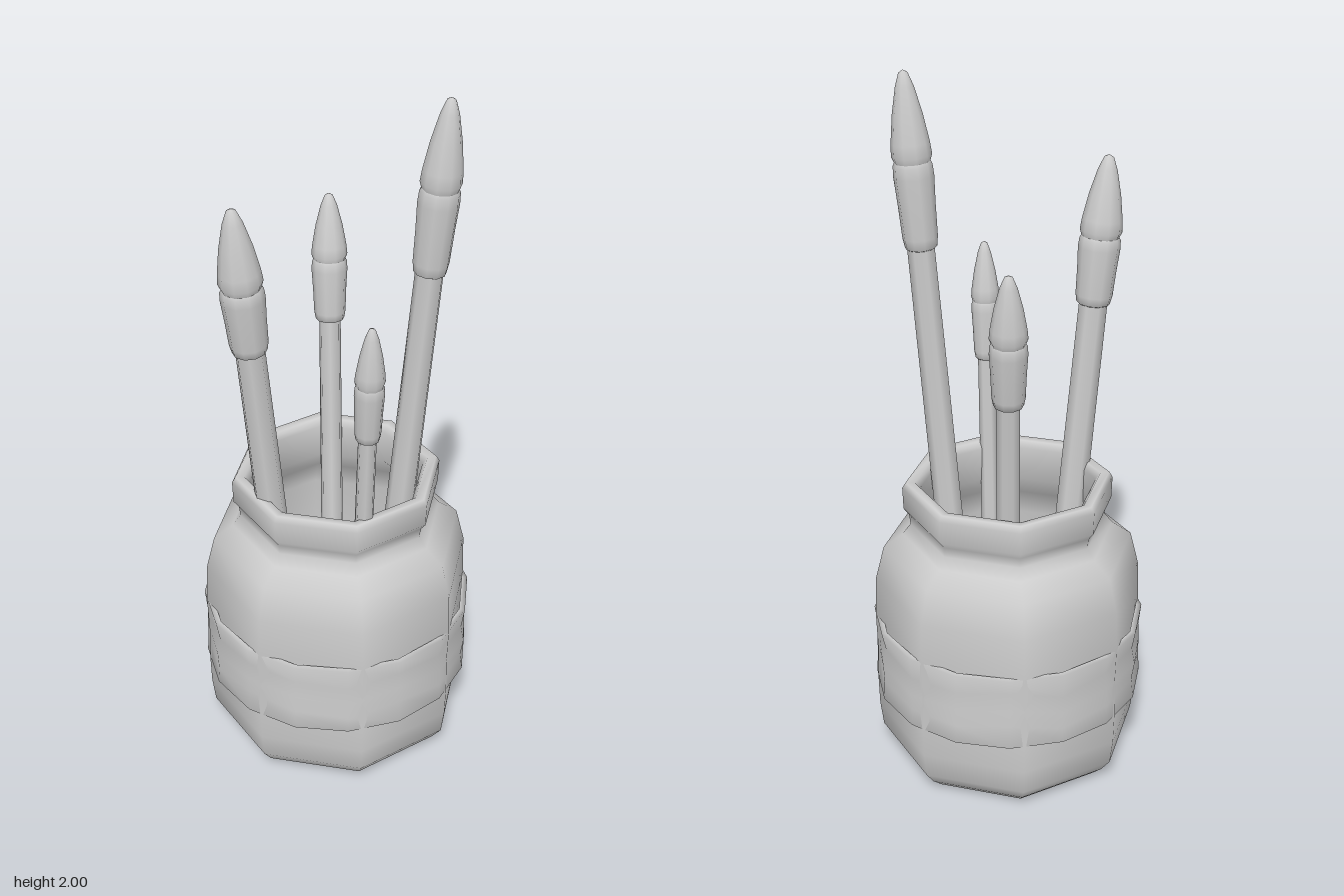
import * as THREE from 'three';
import { mergeVertices } from 'three/addons/utils/BufferGeometryUtils.js';

const rad = THREE.MathUtils.degToRad;

// Turned part from [radius, height] pairs; a repeated pair makes a sharp edge
function lathe(name, profile, sides, material, startDeg = 0) {
  const points = profile.map(([r, y]) => new THREE.Vector2(r, y));
  const mesh = new THREE.Mesh(new THREE.LatheGeometry(points, sides, rad(startDeg)), material);
  mesh.name = name;
  return mesh;
}

// Leaning paintbrush from base to tip; joint and neck are heights on the leaning axis
function makeBrush(name, { base, tip, neck, joint, width, handle }, material) {
  const brush = new THREE.Group();
  brush.name = name;
  const from = new THREE.Vector3(...base);
  const axis = new THREE.Vector3(...tip).sub(from);
  const length = axis.length();
  const along = (y) => ((y - base[1]) / (tip[1] - base[1])) * length;
  const n = along(neck), j = along(joint), b = length - j;
  const r = width / 2, h = handle / 2, f = j - n;

  brush.add(lathe('handle', [
    [0, 0], [h * 1.12, 0], [h * 1.12, 0], [h, n + 0.01],
  ], 7, material));
  brush.add(lathe('ferrule', [
    [h * 0.9, n - 0.005], [r * 0.8, n], [r * 0.88, n + f * 0.12], [r * 0.93, n + f * 0.5],
    [r, n + f * 0.82], [r * 0.97, n + f * 0.95], [r * 0.86, j],
  ], 10, material));
  brush.add(lathe('bristles', [
    [r * 0.86, j - 0.008], [r, j + b * 0.06], [r * 0.95, j + b * 0.2], [r * 0.74, j + b * 0.52],
    [r * 0.45, j + b * 0.82], [r * 0.22, j + b * 0.97], [0, length],
  ], 10, material));

  brush.position.copy(from);
  brush.quaternion.setFromUnitVectors(new THREE.Vector3(0, 1, 0), axis.normalize());
  return brush;
}

// Uneven band wrapped around the belly of the jar
function makeBand(material) {
  const profile = [[0.372, 0.24], [0.389, 0.24], [0.387, 0.295], [0.39, 0.35], [0.383, 0.4], [0.389, 0.46], [0.372, 0.46]];
  const band = lathe('band', profile, 16, material, 10);
  let geometry = band.geometry;
  geometry.deleteAttribute('uv');
  geometry.deleteAttribute('normal');
  geometry = mergeVertices(geometry, 1e-4);
  const pos = geometry.attributes.position;
  for (let i = 0; i < pos.count; i++) {
    const x = pos.getX(i), y = pos.getY(i), z = pos.getZ(i);
    if (y < 0.25 || y > 0.45) continue;
    const a = Math.atan2(z, x);
    const wave = Math.sin(a * 5 + 1) + 0.6 * Math.sin(a * 7);
    const k = 1 - 0.007 * (1 + Math.sin(a * 6 + y * 40));
    pos.setXYZ(i, x * k, y + 0.01 * wave, z * k);
  }
  geometry.computeVertexNormals();
  band.geometry = geometry;
  return band;
}

export function createModel() {
  const group = new THREE.Group();
  const grey = new THREE.MeshStandardMaterial({ color: 0xcccccc });
  grey.name = 'plain grey';

  // Eight-sided jar: outside, rolled rim, then inside down to the floor
  group.add(lathe('jar', [
    [0, 0.003], [0.31, 0.003], [0.31, 0.003], [0.345, 0.035], [0.374, 0.075], [0.383, 0.15], [0.385, 0.24],
    [0.382, 0.35], [0.385, 0.46], [0.38, 0.58], [0.355, 0.68], [0.3, 0.72], [0.277, 0.75],
    [0.28, 0.78], [0.295, 0.8], [0.297, 0.865], [0.287, 0.882], [0.262, 0.88], [0.248, 0.86],
    [0.248, 0.76], [0.3, 0.69], [0.345, 0.6], [0.355, 0.15], [0.3, 0.03], [0.3, 0.03], [0, 0.03],
  ], 8, grey, 16));
  group.add(makeBand(grey));

  // Brushes standing in the jar
  const brushes = {
    frontBrush: { base: [-0.02, 0.03, 0.135], tip: [-0.022, 1.76, 0.315], neck: 1.35, joint: 1.54, width: 0.116, handle: 0.08 },
    tallBrush: { base: [0.105, 0.03, -0.065], tip: [0.234, 2.0, -0.163], neck: 1.53, joint: 1.765, width: 0.108, handle: 0.076 },
    rightBrush: { base: [-0.1, 0.03, -0.07], tip: [-0.236, 1.585, -0.168], neck: 1.22, joint: 1.4, width: 0.1, handle: 0.062 },
    smallBrush: { base: [0.165, 0.03, 0.065], tip: [0.266, 1.48, 0.108], neck: 1.14, joint: 1.31, width: 0.08, handle: 0.05 },
  };
  for (const [name, spec] of Object.entries(brushes)) group.add(makeBrush(name, spec, grey));

  return group;
}
